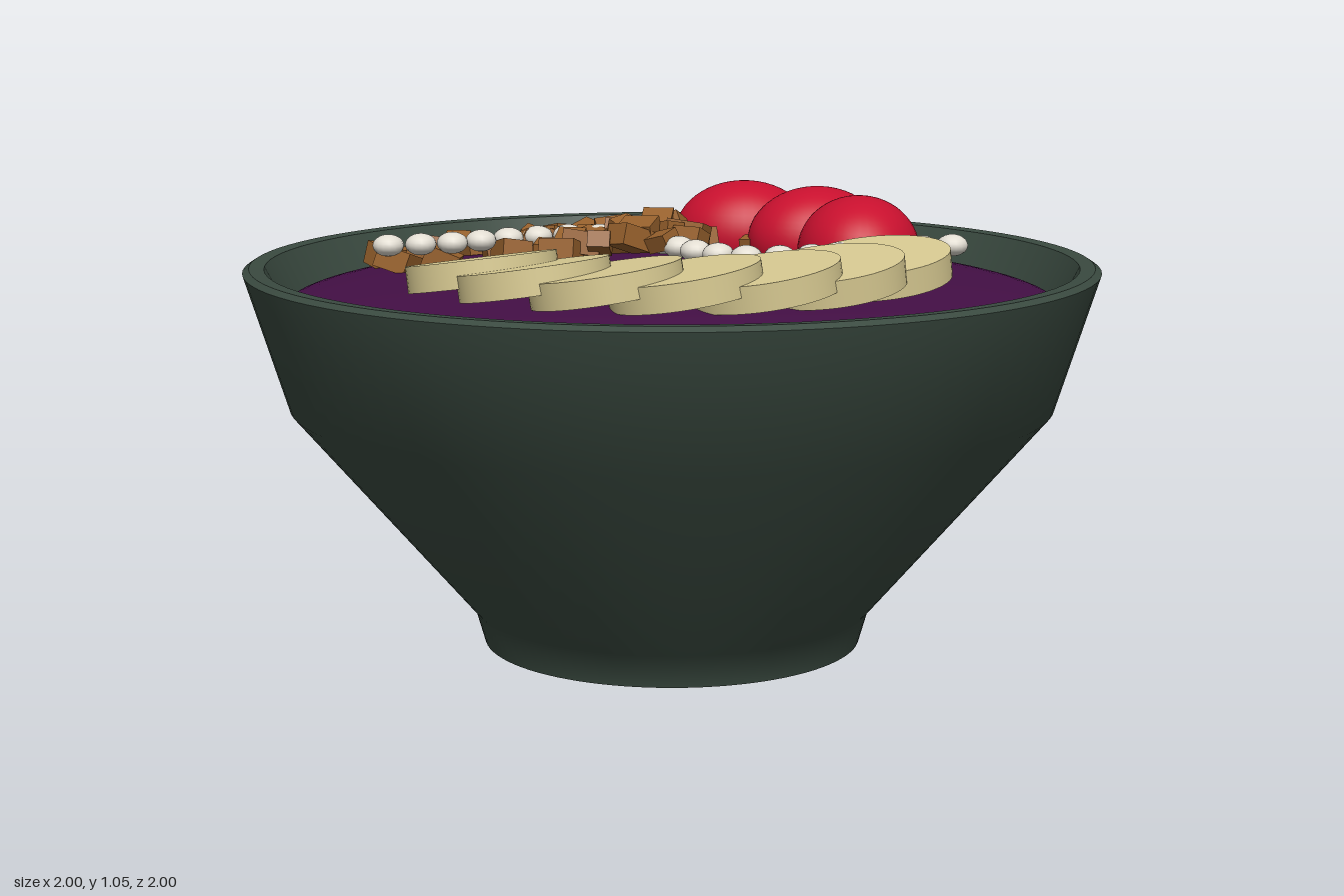
import * as THREE from 'three';

const material = (name, color, side = THREE.FrontSide) => {
  const m = new THREE.MeshStandardMaterial({ color, side });
  m.name = name;
  return m;
};

// small seeded generator for the crumb rotations
function seeded(seed) {
  return () => {
    seed = (seed * 16807) % 2147483647;
    return seed / 2147483647;
  };
}

const FILL_Y = 0.81, FILL_R = 0.91, FILL_H = 0.09;
const fillHeight = (x, z) =>
  FILL_Y + FILL_H * Math.sqrt(Math.max(0, 1 - (x * x + z * z) / (FILL_R * FILL_R)));

export function createModel() {
  const model = new THREE.Group();
  model.name = 'smoothieBowl';

  const ceramic = material('darkGreenCeramic', 0x3a4a40, THREE.DoubleSide);
  const purple = material('purpleSmoothie', 0x430f45);
  const cream = material('bananaCream', 0xd8ca92);
  const red = material('berryRed', 0xc8102e);
  const white = material('seedWhite', 0xe2ddd2);
  const brown = material('granolaBrown', 0x96602c);

  const add = (parent, name, geometry, mat, x = 0, y = 0, z = 0) => {
    const mesh = new THREE.Mesh(geometry, mat);
    mesh.name = name;
    mesh.position.set(x, y, z);
    parent.add(mesh);
    return mesh;
  };
  const group = (name) => {
    const g = new THREE.Group();
    g.name = name;
    model.add(g);
    return g;
  };

  // Bowl: one lathe per surface so the rim and foot edges stay crisp
  const bowl = group('bowl');
  const surfaces = {
    foot: [[0, 0], [0.45, 0]],
    outerWall: [[0.45, 0], [0.473, 0.08], [0.9, 0.58], [1, 0.9]],
    rimBevel: [[1, 0.9], [0.985, 0.91]],
    rim: [[0.985, 0.91], [0.95, 0.908]],
    innerWall: [[0.95, 0.908], [0.89, 0.79]],
  };
  for (const [name, profile] of Object.entries(surfaces)) {
    const points = profile.map(([r, y]) => new THREE.Vector2(r, y));
    add(bowl, name, new THREE.LatheGeometry(points, 96), ceramic);
  }

  // Gently domed filling
  const dome = new THREE.SphereGeometry(FILL_R, 80, 16, 0, Math.PI * 2, 0, Math.PI / 2);
  add(model, 'smoothie', dome, purple, 0, FILL_Y, 0).scale.y = FILL_H / FILL_R;

  // Fan of banana slices, each leaning on the next
  const bananas = group('bananaSlices');
  const slice = new THREE.CylinderGeometry(0.17, 0.17, 0.06, 48);
  const centres = [[-0.335, 0.42], [-0.19, 0.505], [-0.02, 0.535], [0.15, 0.51],
    [0.31, 0.435], [0.43, 0.315], [0.51, 0.16]];
  const up = new THREE.Vector3(0, 1, 0);
  const tilt = 0.16;
  centres.forEach(([x, z], i) => {
    const a = centres[Math.max(0, i - 1)], b = centres[Math.min(centres.length - 1, i + 1)];
    const lean = new THREE.Vector3(b[0] - a[0], 0, b[1] - a[1]).normalize();
    const normal = lean.multiplyScalar(-Math.sin(tilt)).setY(Math.cos(tilt));
    add(bananas, 'bananaSlice', slice, cream, x, 0.93, z).quaternion.setFromUnitVectors(up, normal);
  });

  // Berries
  const berries = group('berries');
  const berry = new THREE.SphereGeometry(1, 40, 28);
  for (const [x, z, turn] of [[0.08, -0.445, 0.2], [0.28, -0.35, 0.65], [0.415, -0.17, 1.75]]) {
    const mesh = add(berries, 'berry', berry, red, x, 0.925, z);
    mesh.scale.set(0.172, 0.13, 0.145);
    mesh.rotation.y = turn;
  }

  // Wavy string of white seeds
  const seeds = group('seedTrail');
  const wave = new THREE.CatmullRomCurve3([
    [-0.65, 0.15], [-0.52, 0.07], [-0.4, -0.06], [-0.28, -0.145], [-0.2, -0.16], [-0.09, -0.1],
    [0.03, 0.03], [0.09, 0.09], [0.21, 0.15], [0.33, 0.11], [0.45, 0], [0.55, -0.1], [0.64, -0.16],
  ].map(([x, z]) => new THREE.Vector3(x, 0.945, z)));
  const seed = new THREE.SphereGeometry(0.037, 16, 12);
  for (const p of wave.getSpacedPoints(21)) {
    add(seeds, 'seed', seed, white, p.x, p.y, p.z).scale.y = 0.7;
  }

  // Granola crumbs, heaped towards the middle
  const granola = group('granola');
  const crumb = new THREE.BoxGeometry(0.075, 0.045, 0.06);
  const spots = [
    [-0.28, -0.68], [-0.25, -0.64], [-0.28, -0.6], [-0.18, -0.65], [-0.1, -0.63], [-0.05, -0.67],
    [0, -0.69], [0.07, -0.68], [0.14, -0.65], [0.42, -0.58], [-0.41, -0.52], [-0.47, -0.46],
    [-0.43, -0.45], [-0.35, -0.49], [-0.28, -0.53], [-0.24, -0.49], [-0.28, -0.41], [-0.28, -0.33],
    [-0.2, -0.46], [-0.17, -0.4], [-0.18, -0.34], [-0.12, -0.52], [-0.09, -0.45], [-0.08, -0.36],
    [-0.01, -0.32], [0.01, -0.26], [0.14, -0.3], [0.28, -0.48], [-0.64, -0.34], [-0.56, -0.24],
    [-0.74, -0.11], [-0.62, -0.16], [-0.61, -0.01], [-0.66, 0.05], [-0.55, 0.05], [-0.47, -0.13],
    [-0.38, -0.23], [-0.33, -0.22], [-0.37, -0.11], [-0.4, -0.02], [-0.31, -0.02], [-0.26, 0.04],
    [-0.23, -0.13], [-0.2, -0.22], [-0.17, -0.17], [-0.17, 0.02], [-0.13, -0.07], [-0.1, 0.01],
    [-0.07, -0.14], [-0.05, -0.18], [-0.03, -0.08], [-0.02, 0.01], [0.01, -0.12], [0.03, -0.06],
    [-0.09, -0.04], [-0.27, -0.08], [-0.22, -0.01],
  ];
  const rand = seeded(41);
  for (const [x, z] of spots) {
    const heap = 0.055 * Math.exp(-((x + 0.08) ** 2 + (z + 0.08) ** 2) / 0.03);
    const mesh = add(granola, 'crumb', crumb, brown, x, fillHeight(x, z) + 0.02 + heap, z);
    mesh.rotation.set((rand() - 0.5) * 0.9, rand() * Math.PI, (rand() - 0.5) * 0.9);
    mesh.scale.setScalar(0.8 + rand() * 0.45);
  }

  return model;
}
